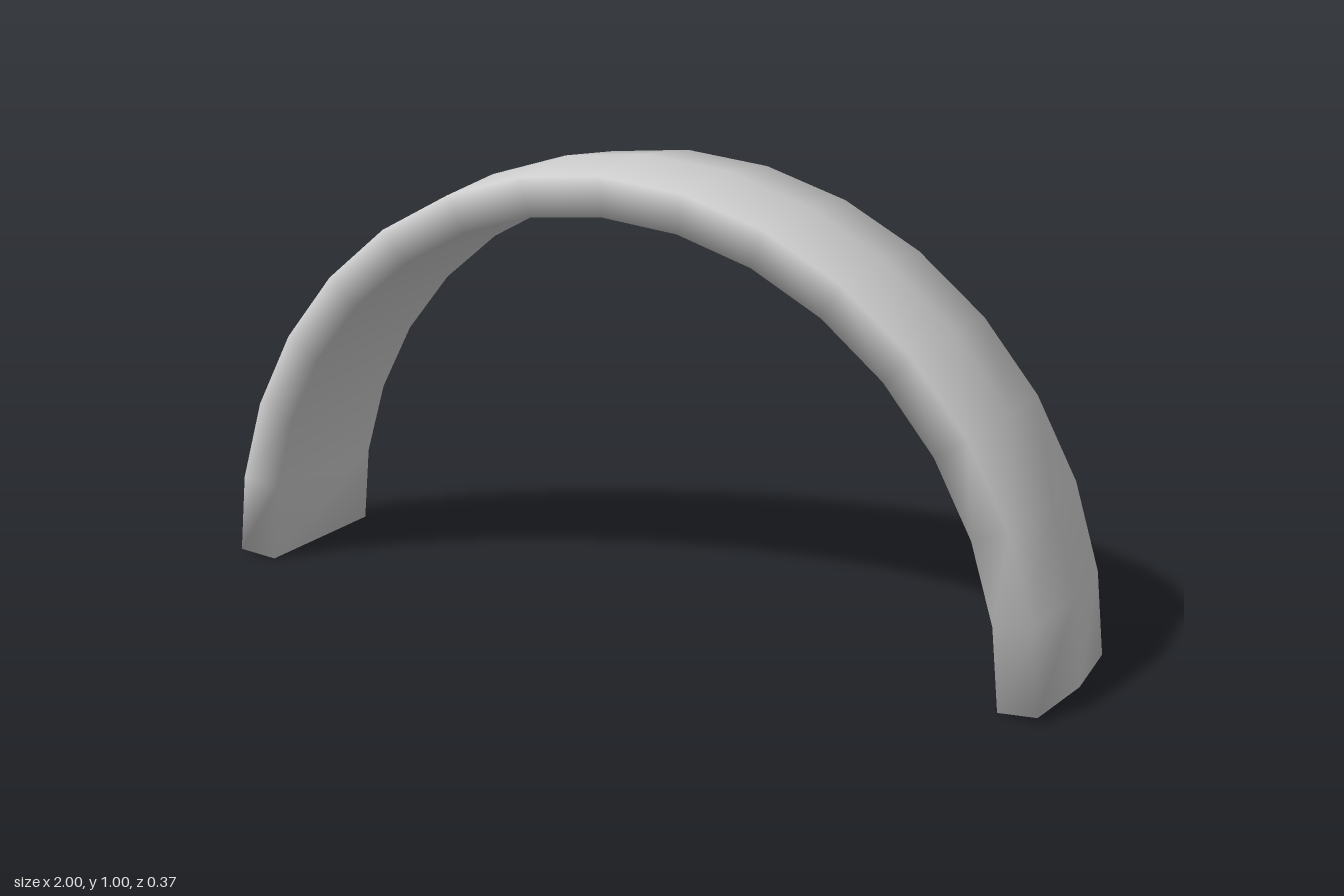
import * as THREE from 'three';

const SEGMENTS = 16;
// Cross-section of the band as [radius, z]: ridged outside, flat inside
const SECTION = [[0.982, 0.187], [1, 0], [0.982, -0.187], [0.895, -0.176], [0.895, 0.176]];

function archGeometry() {
  const n = SECTION.length;
  const positions = [];
  const index = [];

  // Sweep the section over a half circle
  for (let i = 0; i <= SEGMENTS; i++) {
    const t = (i / SEGMENTS) * Math.PI;
    const isEnd = i === 0 || i === SEGMENTS;
    for (const [r, z] of SECTION) {
      // The feet slope slightly: the outer edge sits above the inner one
      const y = isEnd ? (r > 0.9 ? 0.012 : 0) : r * Math.sin(t);
      positions.push(r * Math.cos(t), y, z);
    }
  }

  // Skin between neighbouring sections
  for (let i = 0; i < SEGMENTS; i++) {
    for (let j = 0; j < n; j++) {
      const k = (j + 1) % n;
      const a = i * n + j, b = i * n + k;
      index.push(a, b, b + n, a, b + n, a + n);
    }
  }

  // Caps under both feet
  const last = SEGMENTS * n;
  for (let j = 1; j < n - 1; j++) {
    index.push(0, j + 1, j);
    index.push(last, last + j, last + j + 1);
  }

  const geometry = new THREE.BufferGeometry();
  geometry.setAttribute('position', new THREE.Float32BufferAttribute(positions, 3));
  geometry.setIndex(index);
  geometry.computeVertexNormals(); // shared corners give soft shading
  return geometry;
}

export function createModel() {
  const group = new THREE.Group();
  group.name = 'arch';
  const band = new THREE.Mesh(archGeometry(), new THREE.MeshStandardMaterial({ color: 0xcccccc }));
  band.name = 'archBand';
  group.add(band);
  return group;
}
